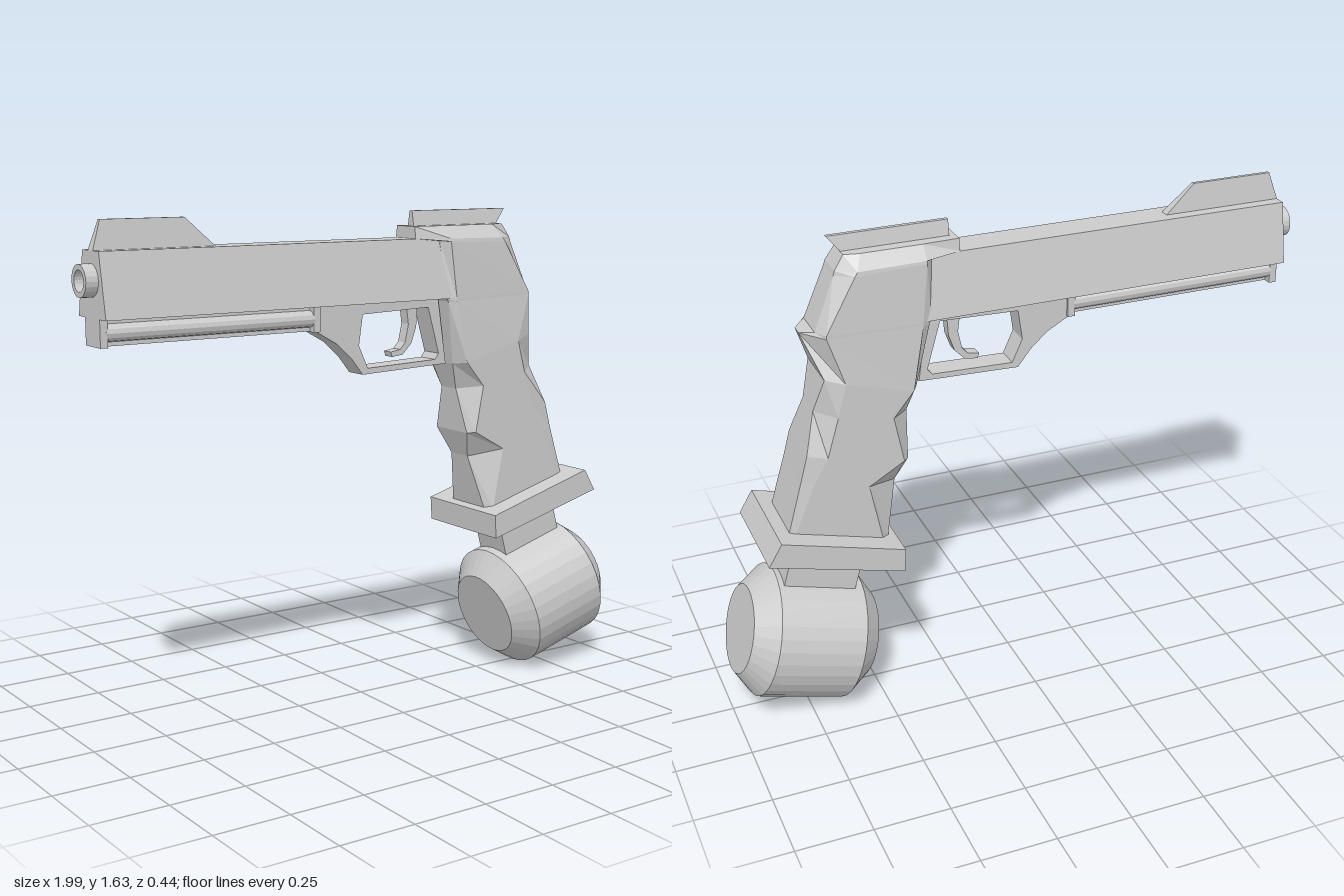
import * as THREE from 'three';

const material = new THREE.MeshStandardMaterial({ color: 0xcccccc, flatShading: true });

function mesh(name, geometry) {
  const m = new THREE.Mesh(geometry, material);
  m.name = name;
  return m;
}

// Side outline extruded to +-half; the upper edge can taper to +-topHalf
function slab(name, outline, half, { hole, topHalf = half } = {}) {
  const toPts = (a) => a.map(([x, y]) => new THREE.Vector2(x, y));
  const shape = new THREE.Shape(toPts(outline));
  if (hole) shape.holes.push(new THREE.Path(toPts(hole)));
  const geo = new THREE.ExtrudeGeometry(shape, { depth: 2, bevelEnabled: false, curveSegments: 6 });
  geo.translate(0, 0, -1);
  const ys = outline.map((p) => p[1]);
  const lo = Math.min(...ys), hi = Math.max(...ys);
  const pos = geo.attributes.position;
  for (let i = 0; i < pos.count; i++) {
    const t = (pos.getY(i) - lo) / (hi - lo);
    pos.setZ(i, pos.getZ(i) * THREE.MathUtils.lerp(half, topHalf, t));
  }
  geo.computeVertexNormals();
  return mesh(name, geo);
}

// Eight-sided loft, top to bottom.
// Level: front x, y, back x, y, then half widths (front, side, back) and x of the side corners
function loft(name, levels) {
  const verts = [], index = [];
  for (const [fx, fy, bx, by, wf, w, wb, sf, sb] of levels) {
    const y = (x) => fy + ((by - fy) * (x - fx)) / (bx - fx);
    const half = [[fx, wf], [sf, w], [sb, w], [bx, wb]];
    for (const [x, z] of half) verts.push(x, y(x), z);
    for (const [x, z] of half.reverse()) verts.push(x, y(x), -z);
  }
  const last = (levels.length - 1) * 8;
  for (let k = 0; k < last; k += 8) {
    for (let i = 0; i < 8; i++) {
      const j = (i + 1) % 8;
      index.push(k + i, k + 8 + i, k + 8 + j, k + i, k + 8 + j, k + j);
    }
  }
  for (let i = 1; i < 7; i++) index.push(0, i, i + 1, last, last + i + 1, last + i);
  let geo = new THREE.BufferGeometry();
  geo.setAttribute('position', new THREE.Float32BufferAttribute(verts, 3));
  geo.setIndex(index);
  geo = geo.toNonIndexed();
  geo.computeVertexNormals();
  return mesh(name, geo);
}

export function createModel() {
  const model = new THREE.Group();

  // Barrel with sloping sides, and the hollow muzzle
  model.add(slab('barrel', [[-0.96, 1.345], [0.32, 1.345], [0.32, 1.545], [-0.96, 1.545]], 0.093, { topHalf: 0.056 }));
  const ring = [[0.033, 0], [0.05, 0], [0.05, 0.06], [0.033, 0.06], [0.033, 0]];
  const muzzle = mesh('muzzle', new THREE.LatheGeometry(ring.map(([r, y]) => new THREE.Vector2(r, y)), 20));
  muzzle.rotation.z = Math.PI / 2;
  muzzle.position.set(-0.94, 1.457, 0);
  model.add(muzzle);

  // Sights
  model.add(slab('frontSight', [[-0.96, 1.545], [-0.55, 1.545], [-0.65, 1.635], [-0.93, 1.635]], 0.017, { topHalf: 0.006 }));
  model.add(slab('rearSight', [[0.2, 1.58], [0.545, 1.58], [0.59, 1.635], [0.2, 1.635]], 0.017, { topHalf: 0.007 }));

  // Under-barrel rail: core, end blocks and side rods
  const rail = new THREE.Group();
  rail.name = 'underRail';
  const box = (name, x0, x1, y0, y1, half) =>
    slab(name, [[x0, y0], [x1, y0], [x1, y1], [x0, y1]], half);
  rail.add(box('railCore', -0.95, -0.2, 1.262, 1.35, 0.025));
  rail.add(box('railFrontBlock', -0.96, -0.935, 1.26, 1.35, 0.05));
  rail.add(box('railRearBlock', -0.215, -0.19, 1.26, 1.35, 0.05));
  for (const side of [-1, 1]) {
    const rod = mesh('railRod', new THREE.CylinderGeometry(0.027, 0.027, 0.73, 12));
    rod.rotation.z = Math.PI / 2;
    rod.position.set(-0.575, 1.302, side * 0.025);
    rail.add(rod);
  }
  model.add(rail);

  // Trigger guard and trigger
  model.add(slab('triggerGuard',
    [[-0.2, 1.35], [-0.2, 1.26], [-0.12, 1.215], [-0.065, 1.165], [-0.02, 1.108], [0.32, 1.12], [0.285, 1.35]], 0.04,
    { hole: [[-0.02, 1.306], [-0.035, 1.205], [0, 1.128], [0.275, 1.137], [0.29, 1.157], [0.245, 1.315]] }));
  model.add(slab('trigger',
    [[0.17, 1.32], [0.178, 1.26], [0.165, 1.2], [0.145, 1.178], [0.107, 1.172], [0.112, 1.155], [0.155, 1.16],
      [0.19, 1.195], [0.21, 1.25], [0.215, 1.32]], 0.02));

  // Receiver and faceted grip with finger grooves
  model.add(loft('grip', [
    [0.18, 1.585, 0.55, 1.585, 0.05, 0.055, 0.045, 0.3, 0.5],
    [0.18, 1.545, 0.58, 1.54, 0.056, 0.09, 0.05, 0.3, 0.52],
    [0.275, 1.535, 0.585, 1.525, 0.06, 0.092, 0.05, 0.3, 0.53],
    [0.29, 1.345, 0.655, 1.355, 0.085, 0.1, 0.06, 0.32, 0.63],
    [0.295, 1.335, 0.695, 1.345, 0.085, 0.1, 0.02, 0.32, 0.63],
    [0.335, 1.12, 0.642, 1.205, 0.06, 0.11, 0.09, 0.36, 0.58],
    [0.365, 1.03, 0.675, 1.09, 0.04, 0.11, 0.055, 0.43, 0.61],
    [0.38, 0.88, 0.715, 0.96, 0.085, 0.11, 0.1, 0.4, 0.65],
    [0.415, 0.79, 0.74, 0.87, 0.045, 0.11, 0.1, 0.52, 0.7],
    [0.46, 0.6, 0.79, 0.7, 0.09, 0.11, 0.105, 0.48, 0.77],
  ]));

  // Base plate and neck
  model.add(slab('basePlate', [[0.435, 0.522], [0.88, 0.642], [0.835, 0.717], [0.43, 0.603]], 0.185));
  model.add(slab('neck', [[0.535, 0.56], [0.59, 0.36], [0.83, 0.42], [0.77, 0.63]], 0.072));

  // Drum-shaped pommel with chamfered ends
  const drum = [[0, -0.217], [0.148, -0.217], [0.22, -0.147], [0.22, 0.147], [0.148, 0.217], [0, 0.217]];
  const pommel = mesh('pommel', new THREE.LatheGeometry(drum.map(([r, y]) => new THREE.Vector2(r, y)), 32));
  pommel.rotation.z = -Math.PI / 2 + 0.285;
  pommel.position.set(0.745, 0.255, 0);
  model.add(pommel);

  return model;
}
